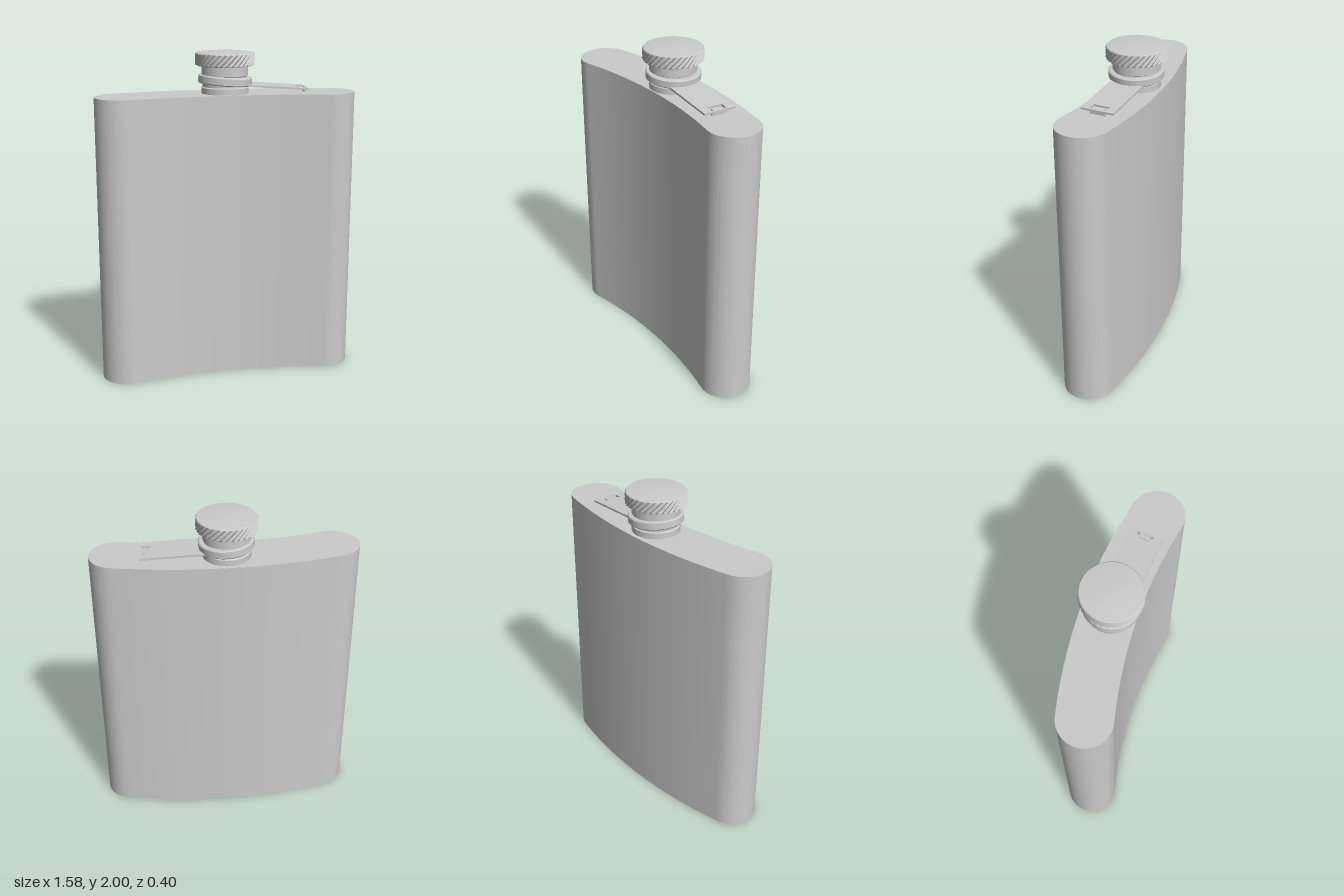
import * as THREE from 'three';
import { toCreasedNormals } from 'three/addons/utils/BufferGeometryUtils.js';

const grey = new THREE.MeshStandardMaterial({ color: 0xcccccc });
const greyFlat = new THREE.MeshStandardMaterial({ color: 0xcccccc, flatShading: true });
const AXIS_Z = -0.022; // neck axis

function add(parent, name, geometry, material = grey) {
  const mesh = new THREE.Mesh(geometry, material);
  mesh.name = name;
  parent.add(mesh);
  return mesh;
}

function turned(points, segments = 64) {
  const profile = points.map(([r, y]) => new THREE.Vector2(r, y));
  return toCreasedNormals(new THREE.LatheGeometry(profile, segments), 0.6);
}

// Curved kidney outline: two concentric arcs joined by round ends
function bodyGeometry() {
  const R = 2.84, r = 0.157, phi = 0.2255, cy = -2.81, q = Math.PI / 2;
  const ex = R * Math.sin(phi), ey = cy + R * Math.cos(phi);
  const s = new THREE.Shape();
  s.absarc(0, cy, R + r, q + phi, q - phi, true);
  s.absarc(ex, ey, r, q - phi, -q - phi, true);
  s.absarc(0, cy, R - r, q - phi, q + phi, false);
  s.absarc(-ex, ey, r, -q + phi, -3 * q + phi, true);
  const g = new THREE.ExtrudeGeometry(s, { depth: 1.75, bevelEnabled: false, curveSegments: 24 });
  g.rotateX(-Math.PI / 2);
  return toCreasedNormals(g, 0.6);
}

// Diamond knurling: alternate vertices of a ring wall are pushed in
function knurlGeometry(radius, height, around, rows) {
  const g = new THREE.CylinderGeometry(radius, radius, height, around, rows, true);
  const p = g.attributes.position;
  for (let i = 0; i < p.count; i++) {
    const row = Math.floor(i / (around + 1)), col = i % (around + 1);
    if ((row + col) % 2) {
      p.setX(i, p.getX(i) * 0.95);
      p.setZ(i, p.getZ(i) * 0.95);
    }
  }
  g.computeVertexNormals();
  return g;
}

// Flat strap with a slot near its free end
function strapGeometry() {
  const s = new THREE.Shape();
  s.moveTo(0.12, -0.1).lineTo(0.495, -0.1).lineTo(0.495, 0.1).lineTo(0.12, 0.1).closePath();
  const slot = new THREE.Path();
  slot.moveTo(0.435, -0.048).lineTo(0.435, 0.048).lineTo(0.482, 0.048).lineTo(0.482, -0.048).closePath();
  s.holes.push(slot);
  const g = new THREE.ExtrudeGeometry(s, { depth: 0.012, bevelEnabled: false });
  g.rotateX(-Math.PI / 2);
  return g;
}

export function createModel() {
  const model = new THREE.Group();
  model.name = 'hipFlask';
  add(model, 'body', bodyGeometry());

  const top = new THREE.Group();
  top.name = 'neckAndCap';
  top.position.z = AXIS_Z;
  model.add(top);

  // Neck below the collar, cap skirt above it
  add(top, 'neck', turned([[0.142, 1.745], [0.142, 1.785], [0.134, 1.79], [0.134, 1.86]]));
  add(top, 'capSkirt', turned([[0.13, 1.85], [0.14, 1.856], [0.14, 1.918]]));

  // Cap with knurled rim and slightly domed top
  add(top, 'capUnderside', turned([[0.13, 1.915], [0.168, 1.915], [0.172, 1.922]]));
  const knurl = add(top, 'knurledRim', knurlGeometry(0.179, 0.068, 64, 4), greyFlat);
  knurl.position.y = 1.953;
  add(top, 'capCore', turned([[0.168, 1.917], [0.168, 1.988]]));
  add(top, 'capTop', turned([[0.168, 1.985], [0.176, 1.985], [0.171, 1.991], [0.12, 1.996], [0.06, 1.999], [0, 2]]));

  // Retaining collar and strap, tilted down towards the shoulder
  const retainer = new THREE.Group();
  retainer.name = 'capRetainer';
  retainer.position.y = 1.803;
  retainer.rotation.set(0, -0.085, -0.07);
  top.add(retainer);
  add(retainer, 'collar', turned([
    [0.13, 0], [0.156, 0], [0.162, 0.006], [0.162, 0.044], [0.156, 0.05], [0.13, 0.05], [0.13, 0],
  ]));
  add(retainer, 'strap', strapGeometry());

  // Folded tab and hinge lip at the strap's slot
  const tab = add(retainer, 'strapTab', new THREE.BoxGeometry(0.03, 0.008, 0.065));
  tab.position.set(0.468, 0.004, 0);
  const lip = add(retainer, 'strapLip', new THREE.BoxGeometry(0.01, 0.02, 0.096));
  lip.position.set(0.487, -0.006, 0);

  return model;
}
